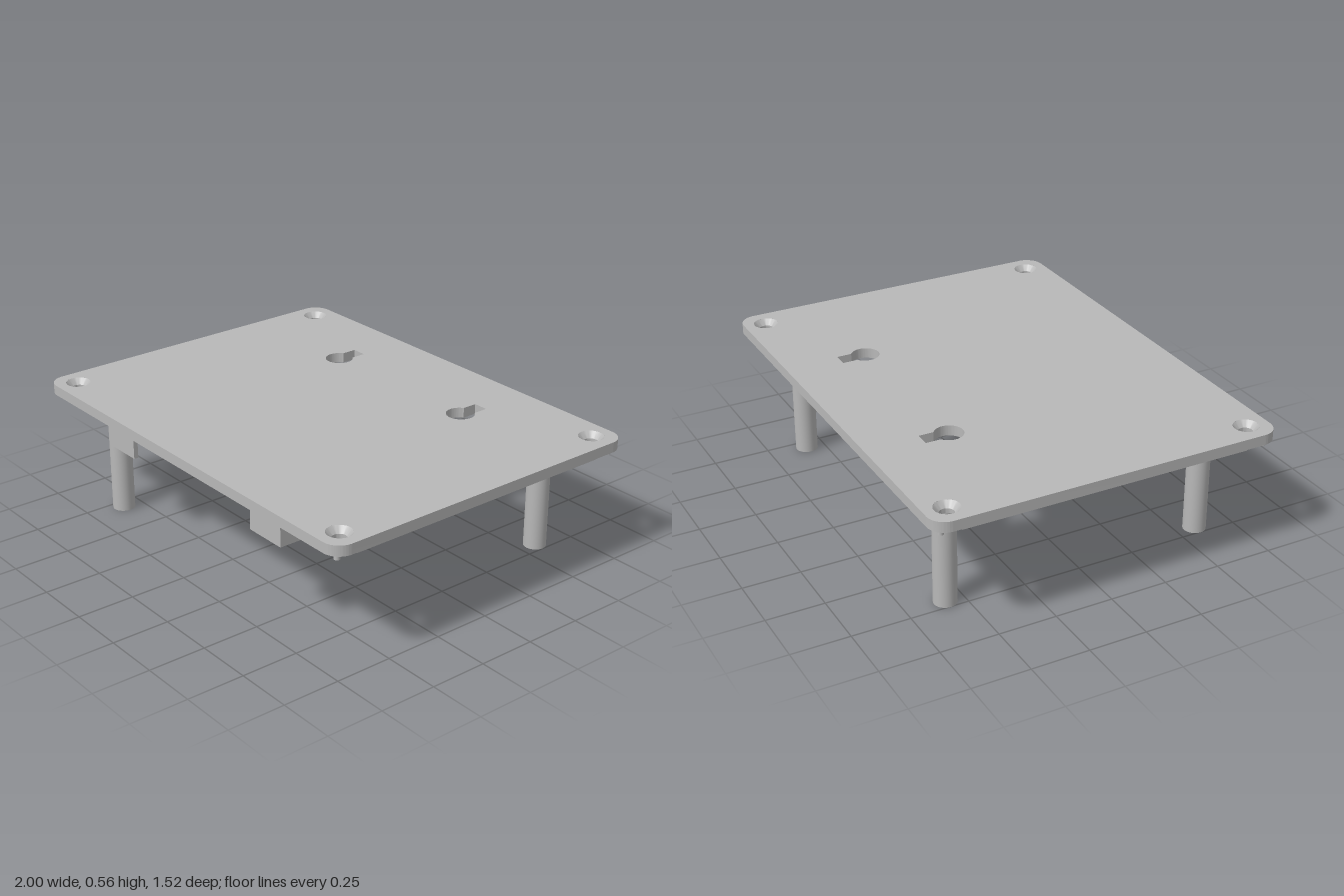
import * as THREE from 'three';
import { toCreasedNormals } from 'three/addons/utils/BufferGeometryUtils.js';

const TOP = 0.555, UNDER = 0.51, RIDGE = 0.48;
const HX = 1, HZ = 0.76, CORNER = 0.075;

export function createModel() {
  const model = new THREE.Group();
  model.name = 'mountingPlate';
  const grey = new THREE.MeshStandardMaterial({ color: 0xb8b8b8 });
  grey.name = 'light grey';

  const add = (name, geometry, x = 0, y = 0, z = 0) => {
    const mesh = new THREE.Mesh(geometry, grey);
    mesh.name = name;
    mesh.position.set(x, y, z);
    model.add(mesh);
  };
  const box = (name, x0, x1, y0, y1, z0, z1) =>
    add(name, new THREE.BoxGeometry(x1 - x0, y1 - y0, z1 - z0),
      (x0 + x1) / 2, (y0 + y1) / 2, (z0 + z1) / 2);
  const post = (name, r, y0, y1, x, z) =>
    add(name, new THREE.CylinderGeometry(r, r, y1 - y0, 32), x, (y0 + y1) / 2, z);

  // Rounded plate, drawn with shape y = -z
  const plate = new THREE.Shape();
  const cx = HX - CORNER, cz = HZ - CORNER;
  plate.absarc(cx, cz, CORNER, 0, Math.PI / 2);
  plate.absarc(-cx, cz, CORNER, Math.PI / 2, Math.PI);
  plate.absarc(-cx, -cz, CORNER, Math.PI, Math.PI * 1.5);
  plate.absarc(cx, -cz, CORNER, Math.PI * 1.5, Math.PI * 2);
  plate.closePath();

  // Screw holes in the corners
  const corners = [[1, 1], [1, -1], [-1, 1], [-1, -1]];
  const SCREW = 0.053, BORE = 0.03, SX = 0.9, SZ = 0.663;
  for (const [sx, sz] of corners) {
    plate.holes.push(new THREE.Path().absarc(sx * SX, sz * SZ, SCREW, 0, Math.PI * 2));
  }

  // Keyhole slots towards the back
  const KEY = 0.061, SLOT = 0.033;
  const a = Math.acos(SLOT / KEY);
  for (const x of [-0.4, 0.4]) {
    const key = new THREE.Path();
    key.moveTo(x + SLOT, 0.52);
    key.lineTo(x - SLOT, 0.52);
    key.absarc(x, 0.403, KEY, Math.PI - a, Math.PI * 2 + a);
    key.closePath();
    plate.holes.push(key);
  }
  const slab = new THREE.ExtrudeGeometry(plate,
    { depth: TOP - UNDER, bevelEnabled: false, curveSegments: 32 });
  slab.rotateX(-Math.PI / 2);
  add('plate', toCreasedNormals(slab, 0.6), 0, UNDER, 0);

  // Countersunk sleeves and small corner pegs
  const sleeve = toCreasedNormals(new THREE.LatheGeometry([
    new THREE.Vector2(SCREW, TOP),
    new THREE.Vector2(BORE, TOP - 0.025),
    new THREE.Vector2(BORE, UNDER),
    new THREE.Vector2(SCREW, UNDER),
  ], 32), 0.6);
  for (const [sx, sz] of corners) {
    add('countersink', sleeve, sx * SX, 0, sz * SZ);
    post('cornerPeg', 0.0125, RIDGE, UNDER, sx * 0.948, sz * 0.713);
  }

  // Locating ridges inside the rim
  for (const s of [-1, 1]) {
    box('sideRidge', s * 0.948 - 0.0125, s * 0.948 + 0.0125, RIDGE, UNDER, -0.63, 0.63);
    box('endRidge', -0.868, 0.868, RIDGE, UNDER, s * 0.713 - 0.0125, s * 0.713 + 0.0125);
  }

  // Holder frame: full side walls, end walls cut away between the corners
  const L = -0.56, R = 0.63, B = -0.155, F = 0.727, LOW = 0.397, T = 0.02, TAB = 0.19;
  box('frameSide', L, L + T, LOW, UNDER, B, F);
  box('frameSide', R - T, R, LOW, UNDER, B, F);
  for (const z of [B, F - T]) {
    box('frameTab', L + T, L + TAB, LOW, UNDER, z, z + T);
    box('frameTab', R - TAB, R - T, LOW, UNDER, z, z + T);
    box('frameSill', L + TAB, R - TAB, RIDGE, UNDER, z, z + T);
  }

  // Three legs
  for (const [x, z] of [[-0.705, 0.585], [-0.705, -0.58], [0.7, -0.58]]) {
    post('leg', 0.049, 0, UNDER, x, z);
  }
  return model;
}
